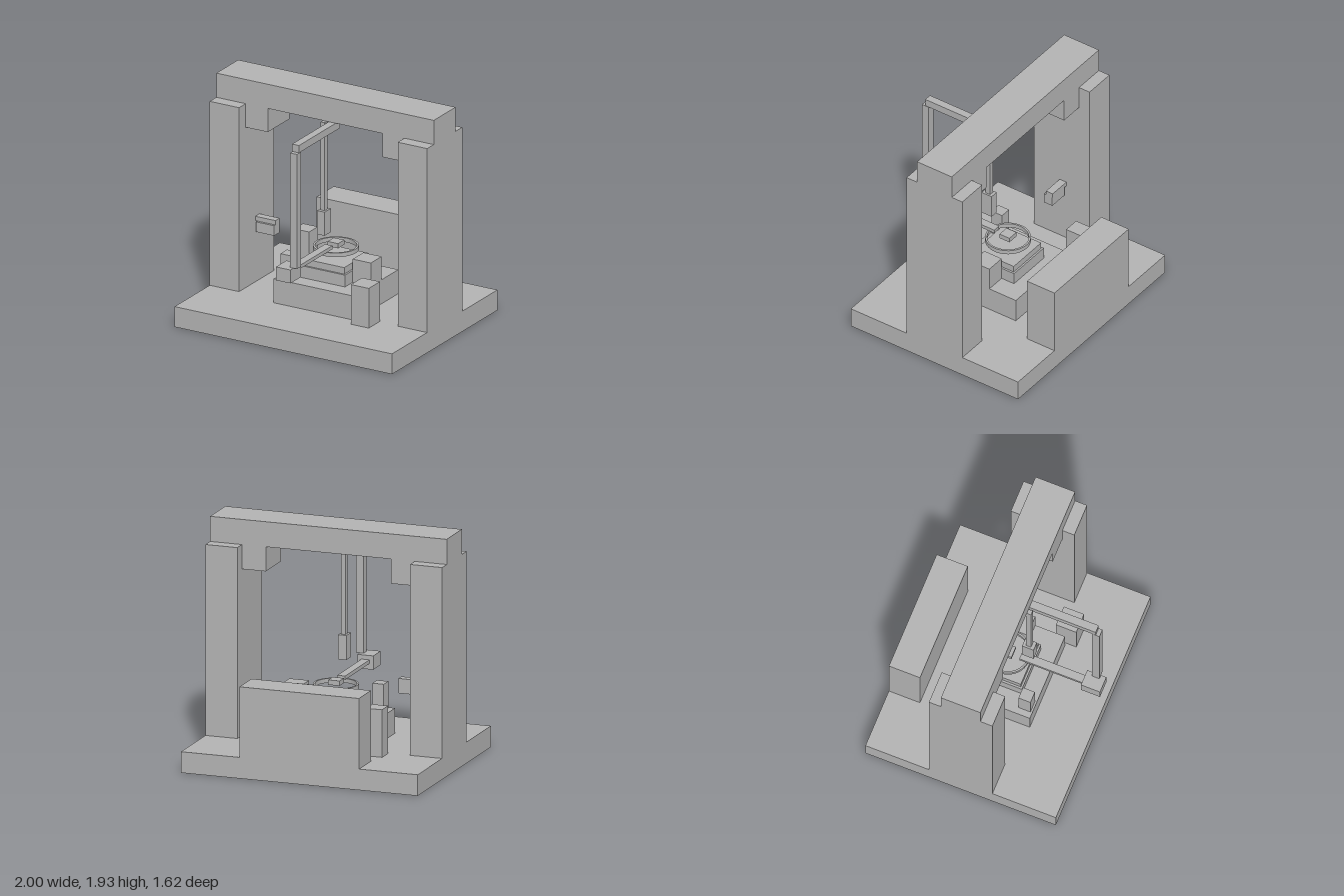
import * as THREE from 'three';

export function createModel() {
  const model = new THREE.Group();
  model.name = 'gantryMachine';
  const grey = new THREE.MeshStandardMaterial({ color: 0xb2b2b2 });
  grey.name = 'machine grey';

  // Box given by its extents along each axis
  function box(name, [x0, x1], [y0, y1], [z0, z1]) {
    const mesh = new THREE.Mesh(new THREE.BoxGeometry(x1 - x0, y1 - y0, z1 - z0), grey);
    mesh.position.set((x0 + x1) / 2, (y0 + y1) / 2, (z0 + z1) / 2);
    mesh.name = name;
    model.add(mesh);
  }

  // Frame: base, columns, brackets and top beam
  box('base', [-1, 1], [0, 0.172], [-0.81, 0.81]);
  box('topBeam', [-1, 1], [1.73, 1.935], [-0.168, 0.168]);
  for (const [side, s] of [['left', 1], ['right', -1]]) {
    const span = (a, b) => (s > 0 ? [a, b] : [-b, -a]);
    box(side + 'Column', span(0.73, 1), [0.172, 1.73], [-0.27, 0.27]);
    box(side + 'Bracket', span(0.527, 0.73), [1.53, 1.73], [-0.168, 0.168]);
  }

  // Cabinet at the back and free-standing units on the base
  box('rearCabinet', [-0.505, 0.505], [0.172, 0.748], [-0.81, -0.545]);
  box('rearUnit', [-0.545, -0.41], [0.172, 0.56], [-0.407, -0.272]);
  box('frontUnit', [0.39, 0.555], [0.172, 0.508], [0.252, 0.424]);

  // Work bed with stacked stages and the units standing on it
  box('bed', [-0.372, 0.37], [0.172, 0.375], [-0.34, 0.336]);
  box('lowerStage', [-0.203, 0.203], [0.375, 0.475], [-0.203, 0.2]);
  box('upperStage', [-0.186, 0.186], [0.475, 0.53], [-0.188, 0.184]);
  box('bedUnitRight', [-0.32, -0.225], [0.375, 0.593], [0.218, 0.32]);
  box('bedUnitLeft', [0.203, 0.37], [0.375, 0.572], [-0.083, 0.083]);

  // Ring above the stage, with its hub
  const section = [[0.165, 0.59], [0.181, 0.59], [0.181, 0.625], [0.165, 0.625], [0.165, 0.59]];
  const ringGroup = new THREE.Group();
  ringGroup.name = 'ring';
  for (let i = 0; i < 4; i++) {
    const edge = [section[i], section[i + 1]].map(([r, y]) => new THREE.Vector2(r, y));
    const face = new THREE.Mesh(new THREE.LatheGeometry(edge, 48), grey);
    face.name = 'ringFace' + (i + 1);
    ringGroup.add(face);
  }
  model.add(ringGroup);
  box('ringHub', [-0.048, 0.048], [0.62, 0.66], [-0.048, 0.048]);

  // Hanging probe
  box('probeRod', [-0.02, 0.018], [0.985, 1.73], [0.16, 0.204]);
  box('probeHead', [-0.036, 0.034], [0.785, 0.985], [0.135, 0.232]);

  // Swing arm reaching forward, down and back to the ring
  box('upperArm', [0.034, 0.098], [1.668, 1.73], [0.1, 0.732]);
  box('verticalArm', [0.034, 0.098], [0.695, 1.665], [0.7, 0.764]);
  box('armBlock', [-0.068, 0.066], [0.582, 0.695], [0.648, 0.81]);
  box('lowerArm', [-0.035, 0.032], [0.63, 0.66], [0.11, 0.648]);

  // Small unit on the right column
  box('sideShelf', [-0.735, -0.545], [0.69, 0.727], [-0.045, 0.02]);
  box('sideUnit', [-0.71, -0.545], [0.605, 0.69], [-0.04, 0.04]);

  return model;
}
